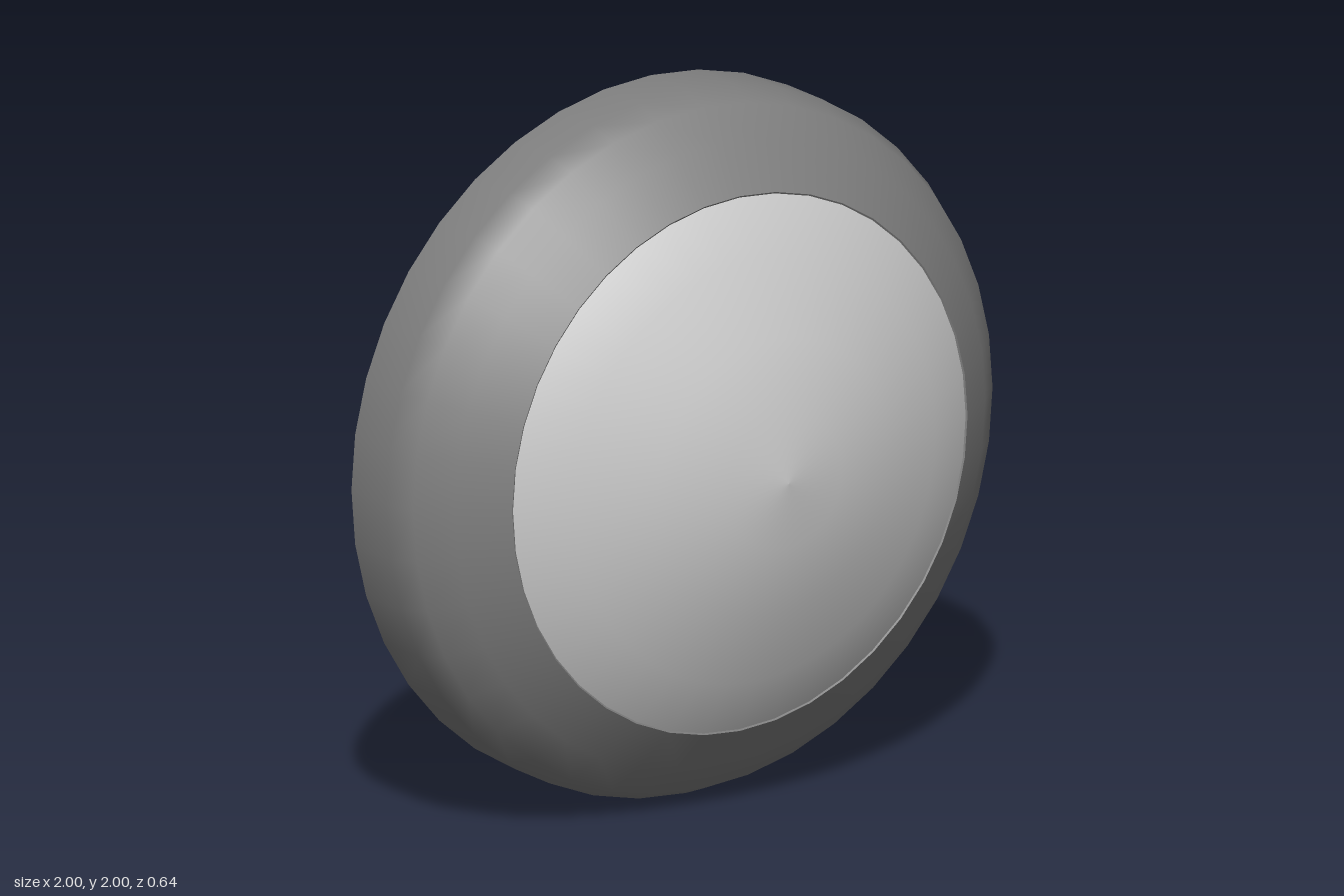
import * as THREE from 'three';

const SIDES = 40;

const makeGrey = color => new THREE.MeshStandardMaterial({ color, side: THREE.DoubleSide });
const housingGrey = makeGrey(0x7f7f7f);
const lensGrey = makeGrey(0xc6c6c6);

// Turned part: profile of [radius, z], listed from back to front
function turned(name, profile, material) {
  const points = profile.map(([r, z]) => new THREE.Vector2(r, z));
  const geometry = new THREE.LatheGeometry(points, SIDES).rotateX(Math.PI / 2);
  const mesh = new THREE.Mesh(geometry, material);
  mesh.name = name;
  mesh.position.y = 1;
  return mesh;
}

// Mirrors a profile so that it faces the back
const toBack = profile => profile.map(([r, z]) => [r, -z]).reverse();

export function createModel() {
  const model = new THREE.Group();
  model.name = 'domeLamp';

  // Open-backed housing with a rounded shoulder
  const shoulder = [[1, -0.322], [1, -0.16], [0.967, -0.08], [0.885, 0], [0.76, 0.093]];
  model.add(turned('housing', shoulder, housingGrey));

  // Thin lip where the housing meets the lens
  model.add(turned('housingLip', [[0.76, 0.093], [0.752, 0.088]], housingGrey));

  // Lens bulging to the front and to the back
  const rim = [[0.88, 0], [0.76, 0.088], [0.6, 0.167]];
  const crown = [[0.39, 0.25], [0.19, 0.303], [0, 0.322]];
  const lens = new THREE.Group();
  lens.name = 'lens';
  lens.add(turned('lensFront', [...rim, ...crown], lensGrey));
  lens.add(turned('lensBack', toBack([...rim, [0.39, 0.25], [0.33, 0.265]]), lensGrey));

  // Slightly stepped cap in the middle of the back
  const cap = [[0.325, 0.272], [0.19, 0.303], [0, 0.322]];
  lens.add(turned('backCap', toBack(cap), lensGrey));
  lens.add(turned('backCapStep', toBack([[0.33, 0.265], cap[0]]), lensGrey));
  model.add(lens);

  return model;
}
